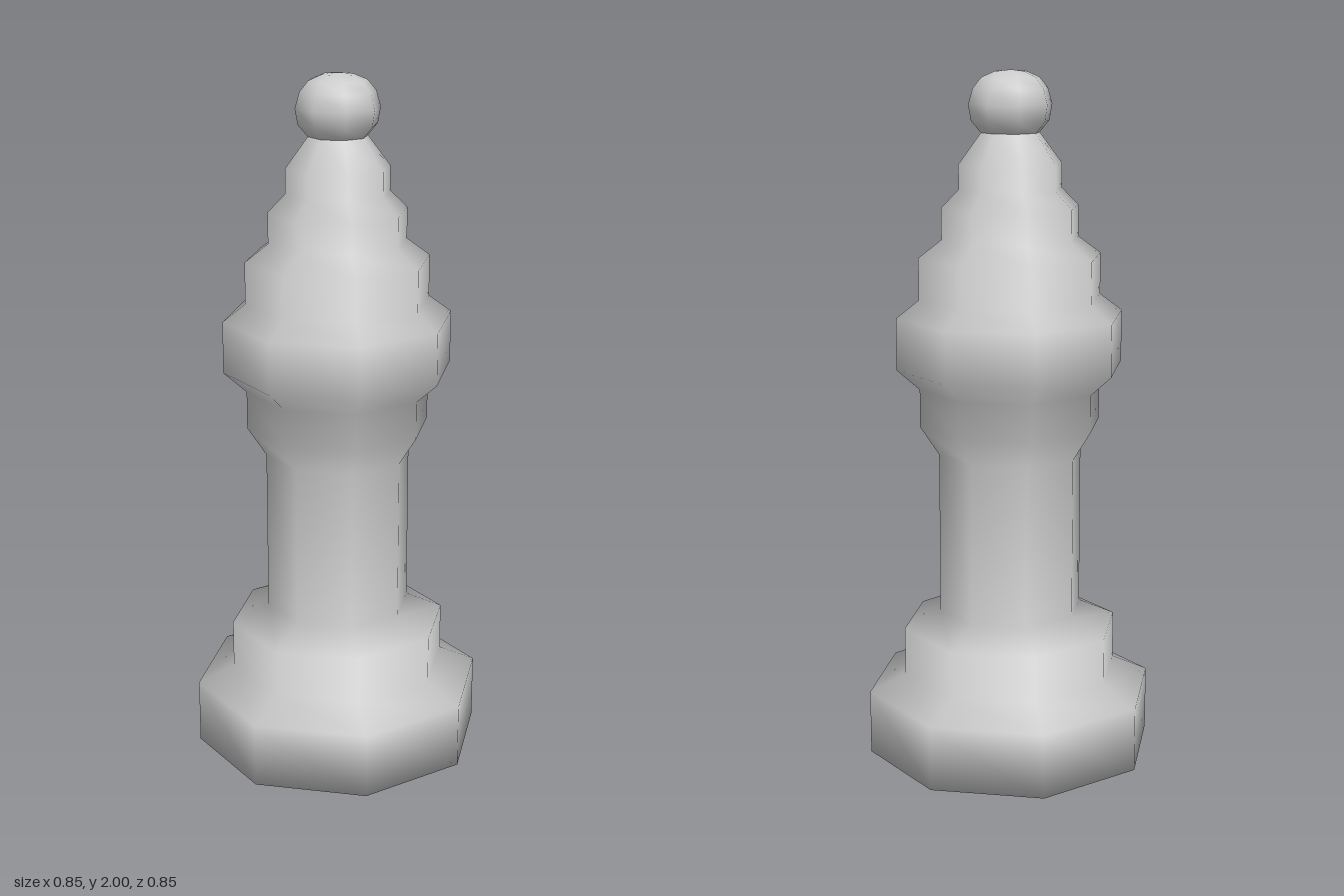
import * as THREE from 'three';

const SIDES = 8;

// Turned part: profile of [radius, height] pairs from bottom to top
function turned(name, profile, material) {
  const points = profile.map(([r, y]) => new THREE.Vector2(r, y));
  const mesh = new THREE.Mesh(new THREE.LatheGeometry(points, SIDES), material);
  mesh.name = name;
  return mesh;
}

export function createModel() {
  const group = new THREE.Group();
  group.name = 'chessPiece';
  const material = new THREE.MeshStandardMaterial({ color: 0xcccccc });

  // Stepped foot, column, collar and tiered head in one smooth-shaded profile
  group.add(turned('body', [
    [0, 0], [0.427, 0], [0.427, 0.19],          // foot
    [0.32, 0.24], [0.32, 0.38],                 // upper step
    [0.212, 0.43], [0.212, 0.905],              // column
    [0.267, 0.99], [0.267, 1.10],               // lower collar
    [0.333, 1.16], [0.333, 1.31],               // wide collar
    [0.267, 1.36], [0.267, 1.48],               // head tiers
    [0.2, 1.53], [0.2, 1.62],
    [0.15, 1.67], [0.15, 1.74],
    [0.085, 1.827],                             // neck
  ], material));

  // Rounded knob on top
  group.add(turned('finial', [
    [0.085, 1.827], [0.113, 1.86], [0.121, 1.905],
    [0.108, 1.95], [0.083, 1.98], [0.045, 1.996], [0, 2],
  ], material));

  return group;
}
